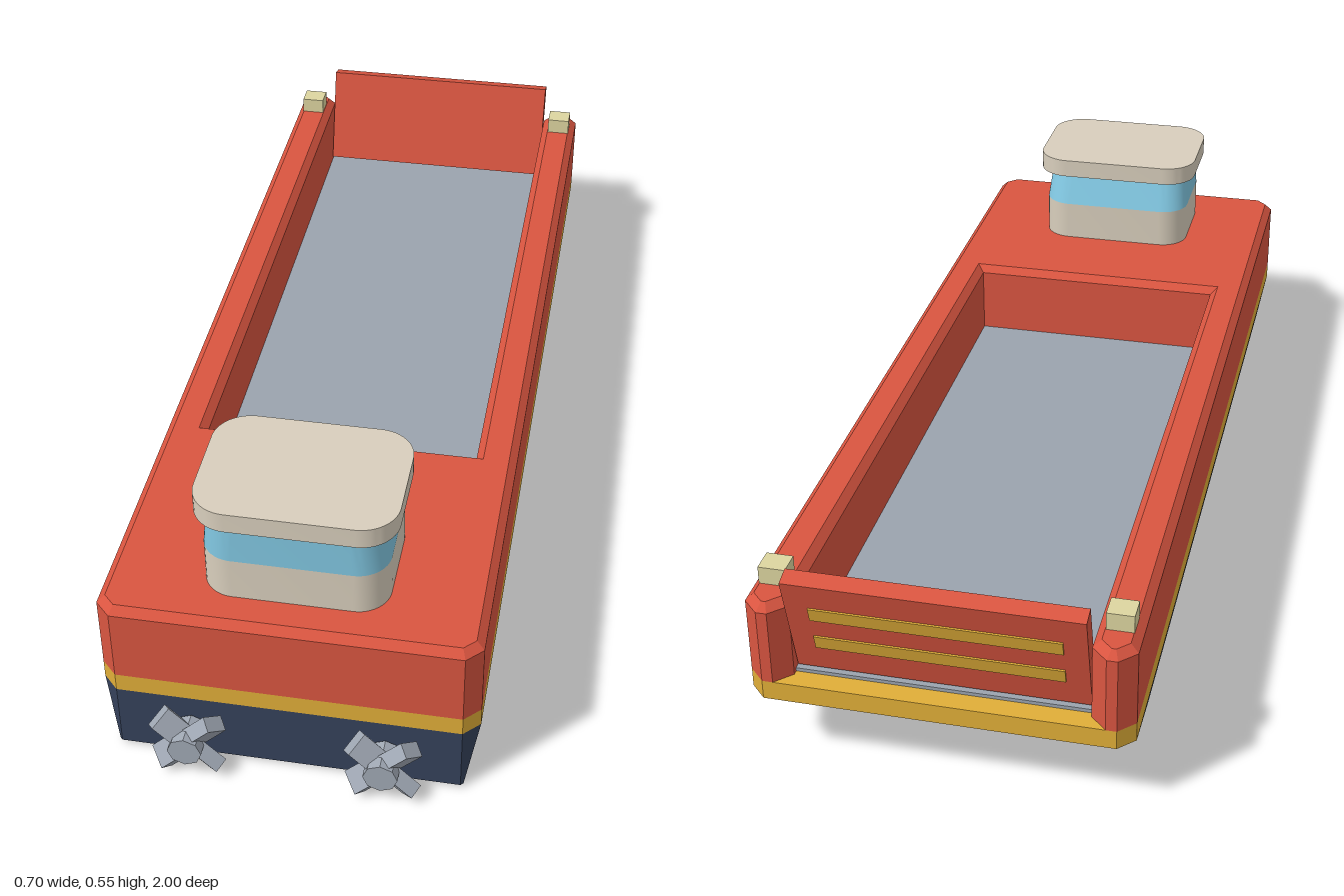
import * as THREE from 'three';
import { toCreasedNormals } from 'three/addons/utils/BufferGeometryUtils.js';

const COLORS = {
  red: 0xd95540, yellow: 0xe0ae38, navy: 0x35415a, deck: 0x9aa3ae,
  cream: 0xd8cebc, glass: 0x7fc4de, lamp: 0xddd5a0, metal: 0xa0a8b4,
};

function part(name, geometry, color, parent) {
  const material = new THREE.MeshStandardMaterial({ color: COLORS[color] });
  const mesh = new THREE.Mesh(geometry, material);
  mesh.name = name;
  parent.add(mesh);
  return mesh;
}

function box(name, size, position, color, parent) {
  const mesh = part(name, new THREE.BoxGeometry(...size), color, parent);
  mesh.position.set(...position);
  return mesh;
}

// Plan shape from [x, z] points of the +x half, mirrored to the other side
function planShape(half) {
  const mirrored = half.map(([x, z]) => [-x, z]).reverse();
  return new THREE.Shape([...half, ...mirrored].map(([x, z]) => new THREE.Vector2(x, -z)));
}

function roundedPlan(w, d, r) {
  const s = new THREE.Shape(), x = w / 2, y = d / 2;
  s.absarc(x - r, y - r, r, 0, Math.PI / 2);
  s.absarc(r - x, y - r, r, Math.PI / 2, Math.PI);
  s.absarc(r - x, r - y, r, Math.PI, Math.PI * 1.5);
  s.absarc(x - r, r - y, r, Math.PI * 1.5, Math.PI * 2);
  s.closePath();
  return s;
}

// Upright extrusion between two heights
function upright(shape, y0, y1, options = {}) {
  const g = new THREE.ExtrudeGeometry(shape, { depth: y1 - y0, bevelEnabled: false, curveSegments: 6, ...options });
  return g.rotateX(-Math.PI / 2).translate(0, y0, 0);
}

// Move each vertex by a rule
function reshape(geometry, rule) {
  const p = geometry.attributes.position, v = new THREE.Vector3();
  for (let i = 0; i < p.count; i++) {
    rule(v.fromBufferAttribute(p, i));
    p.setXYZ(i, v.x, v.y, v.z);
  }
  geometry.computeVertexNormals();
  return geometry;
}

function propeller(x) {
  const g = new THREE.Group();
  g.name = 'propeller';
  g.position.set(x, 0.073, 0.968);
  part('propellerHub', new THREE.CylinderGeometry(0.032, 0.032, 0.062, 8).rotateX(Math.PI / 2).toNonIndexed(), 'metal', g)
    .material.flatShading = true;
  for (let i = 0; i < 4; i++) {
    const blade = part('propellerBlade',
      new THREE.BoxGeometry(0.046, 0.074, 0.029).translate(0, 0.037, 0).rotateY(0.74), 'metal', g);
    blade.rotation.z = Math.PI / 4 + i * Math.PI / 2;
  }
  return g;
}

export function createModel() {
  const model = new THREE.Group();
  model.name = 'landingCraft';

  // Lower hull: narrower at the bottom, with a raked bow
  const outline = planShape([[0.32, 0.935], [0.35, 0.905], [0.35, -0.96], [0.32, -0.99]]);
  const hull = reshape(upright(outline, 0.01, 0.147), (v) => {
    if (v.y > 0.05) return;
    v.x = THREE.MathUtils.clamp(v.x, -0.325, 0.325);
    v.z = v.z < 0 ? -0.69 : Math.max(v.z, 0.93);
  });
  part('lowerHull', hull, 'navy', model);
  part('stripeBand', upright(outline, 0.147, 0.185), 'yellow', model);

  // Upper hull: U-shaped walls and aft deck, bevelled along the top
  const walls = planShape([
    [0.32, 0.935], [0.35, 0.905], [0.35, -0.96], [0.32, -0.99],
    [0.3, -0.99], [0.27, -0.96], [0.27, 0.395],
  ]);
  part('upperHull', upright(walls, 0.185, 0.334, {
    bevelEnabled: true, bevelSize: 0.015, bevelOffset: -0.015, bevelThickness: 0.015, bevelSegments: 1,
  }), 'red', model);
  box('cargoFloor', [0.54, 0.012, 1.345], [0, 0.186, -0.2775], 'deck', model);

  // Bow ramp, leaning outward
  const ramp = new THREE.Group();
  ramp.name = 'bowRamp';
  ramp.position.set(0, 0.2, -0.926);
  ramp.rotation.x = -0.26;
  box('rampPlate', [0.536, 0.222, 0.034], [0, 0.111, 0], 'red', ramp);
  for (const y of [0.075, 0.15]) box('rampStripe', [0.45, 0.03, 0.006], [0, y, -0.0175], 'yellow', ramp);
  model.add(ramp);

  // Cabin: base, tapered window band with sloped forward side, roof
  const cabin = new THREE.Group();
  cabin.name = 'cabin';
  cabin.position.z = 0.735;
  const plan = roundedPlan(0.34, 0.26, 0.06);
  part('cabinBase', toCreasedNormals(upright(plan, 0.349, 0.435), 0.6), 'cream', cabin);
  const glass = reshape(upright(plan, 0.435, 0.511), (v) => {
    if (v.y < 0.48) return;
    v.x *= 0.95;
    v.z = 0.128 + (v.z - 0.13) * 0.87;
  });
  part('windowBand', toCreasedNormals(glass, 0.6), 'glass', cabin);
  part('cabinRoof', toCreasedNormals(upright(roundedPlan(0.37, 0.276, 0.07), 0.51, 0.55), 0.6), 'cream', cabin);
  model.add(cabin);

  // Paired bow lamps and stern propellers
  for (const side of [-1, 1]) {
    box('bowLamp', [0.05, 0.035, 0.046], [side * 0.311, 0.3655, -0.902], 'lamp', model);
    model.add(propeller(side * 0.181));
  }
  return model;
}
